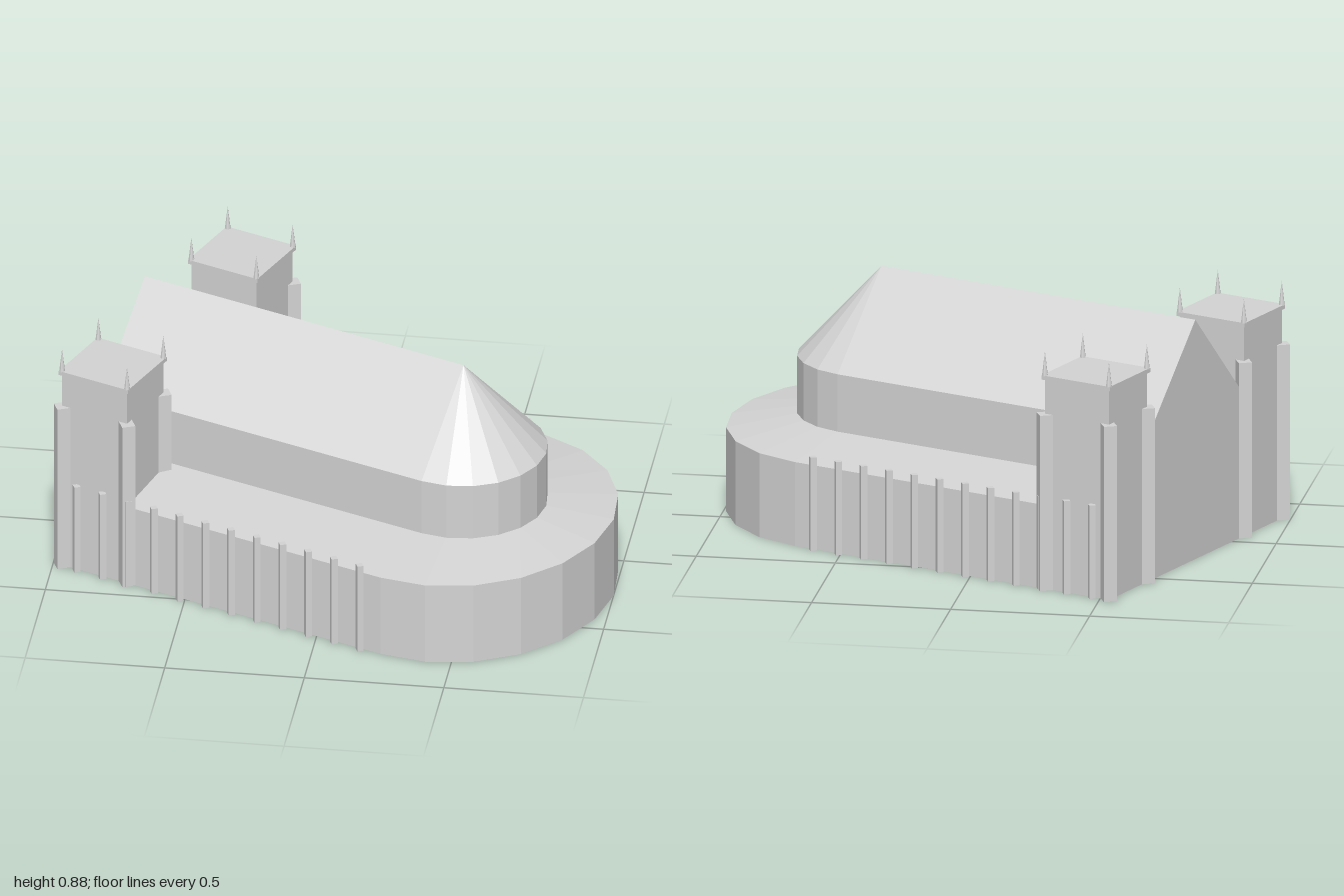
import * as THREE from 'three';

const LENGTH = 1.3;      // nave, from west wall to the apse centre
const NAVE = 0.3;        // half width of nave
const AISLE = 0.593;     // half width including aisles
const EAVE = 0.56, RIDGE = 0.885, WALL = 0.31, LEAN = 0.348;

const stone = new THREE.MeshStandardMaterial({ color: 0xd4d4d4, flatShading: true, side: THREE.DoubleSide });
stone.name = 'stone';

function add(parent, name, geometry, x = 0, y = 0, z = 0) {
  const mesh = new THREE.Mesh(geometry, stone);
  mesh.name = name;
  mesh.position.set(x, y, z);
  parent.add(mesh);
  return mesh;
}

function fromPositions(positions) {
  const g = new THREE.BufferGeometry();
  g.setAttribute('position', new THREE.Float32BufferAttribute(positions, 3));
  g.computeVertexNormals();
  return g;
}

// Leaves out the triangles that lie wholly in one plane, such as the floor
function withoutFace(geometry, axis, value) {
  const source = geometry.index ? geometry.toNonIndexed() : geometry;
  const p = source.attributes.position.array;
  const kept = [];
  for (let i = 0; i < p.length; i += 9) {
    const inPlane = [0, 3, 6].every((k) => Math.abs(p[i + k + axis] - value) < 1e-5);
    if (!inPlane) kept.push(...p.slice(i, i + 9));
  }
  return fromPositions(kept);
}

// Cross-section [across, up] swept along the building axis, open underneath
function sweep(points) {
  const shape = new THREE.Shape(points.map(([a, b]) => new THREE.Vector2(-a, b)));
  const solid = new THREE.ExtrudeGeometry(shape, { depth: LENGTH, bevelEnabled: false })
    .rotateY(Math.PI / 2).translate(-LENGTH, 0, 0);
  return withoutFace(solid, 1, 0);
}

// Half-elliptical faceted surface through rings [radius along, radius across, height]
function halfRound(rings, segments = 10) {
  const positions = [];
  const at = ([ru, rv, y], i) => {
    const t = -Math.PI / 2 + Math.PI * i / segments;
    return [ru * Math.cos(t), y, rv * Math.sin(t)];
  };
  for (let r = 0; r < rings.length - 1; r++) {
    for (let i = 0; i < segments; i++) {
      const a = at(rings[r], i), b = at(rings[r], i + 1);
      const c = at(rings[r + 1], i), d = at(rings[r + 1], i + 1);
      positions.push(...a, ...c, ...b);
      if (rings[r + 1][0] > 0) positions.push(...b, ...c, ...d);
    }
  }
  return fromPositions(positions);
}

// Square pier set diagonally to the walls
function pier(parent, name, size, height, x, z) {
  add(parent, name, new THREE.BoxGeometry(size, height, size), x, height / 2, z).rotation.y = Math.PI / 4;
}

function tower(side) {
  const g = new THREE.Group();
  g.name = side > 0 ? 'southTower' : 'northTower';
  const w = 0.265, d = 0.26, height = 0.776;
  const cx = -LENGTH + w / 2, cz = side * (AISLE - d / 2);
  const shaft = withoutFace(new THREE.BoxGeometry(w, height, d), 1, -height / 2);
  add(g, 'towerBody', shaft, cx, height / 2, cz);
  add(g, 'towerCornice', new THREE.BoxGeometry(w + 0.018, 0.016, d + 0.018), cx, 0.783, cz);
  // Corner buttresses and pinnacles
  for (const sx of [-1, 1]) {
    for (const sz of [-1, 1]) {
      const x = cx + sx * w / 2, z = cz + sz * d / 2;
      pier(g, 'towerButtress', 0.048, 0.648, x, z);
      add(g, 'pinnacle', new THREE.ConeGeometry(0.011, 0.092, 8), x, 0.834, z);
    }
  }
  return g;
}

export function createModel() {
  const model = new THREE.Group();
  model.name = 'church';
  const body = new THREE.Group();
  body.name = 'churchBody';
  body.position.set(0.46, 0, 0.238);
  body.rotation.y = -0.374;
  model.add(body);

  // Gabled nave
  add(body, 'nave', sweep([[-NAVE, 0], [NAVE, 0], [NAVE, EAVE], [0, RIDGE], [-NAVE, EAVE]]));

  // Rounded east end: ambulatory, inner wall and conical roof
  add(body, 'ambulatory', halfRound([[0.535, AISLE, 0], [0.535, AISLE, WALL], [NAVE, NAVE, LEAN]]));
  add(body, 'apse', halfRound([[NAVE, NAVE, 0], [NAVE, NAVE, EAVE], [0, 0, RIDGE]]));

  for (const side of [-1, 1]) {
    // Side aisle with lean-to roof, sharing the nave wall
    const aisle = sweep([[side * NAVE, 0], [side * AISLE, 0], [side * AISLE, WALL], [side * NAVE, LEAN]]);
    add(body, 'aisle', withoutFace(aisle, 2, side * NAVE));
    // Row of slim wall buttresses
    for (let i = 0; i < 12; i++) {
      pier(body, 'aisleButtress', 0.023, 0.345, -1.235 + 0.105 * i, side * 0.603);
    }
    body.add(tower(side));
  }
  return model;
}
